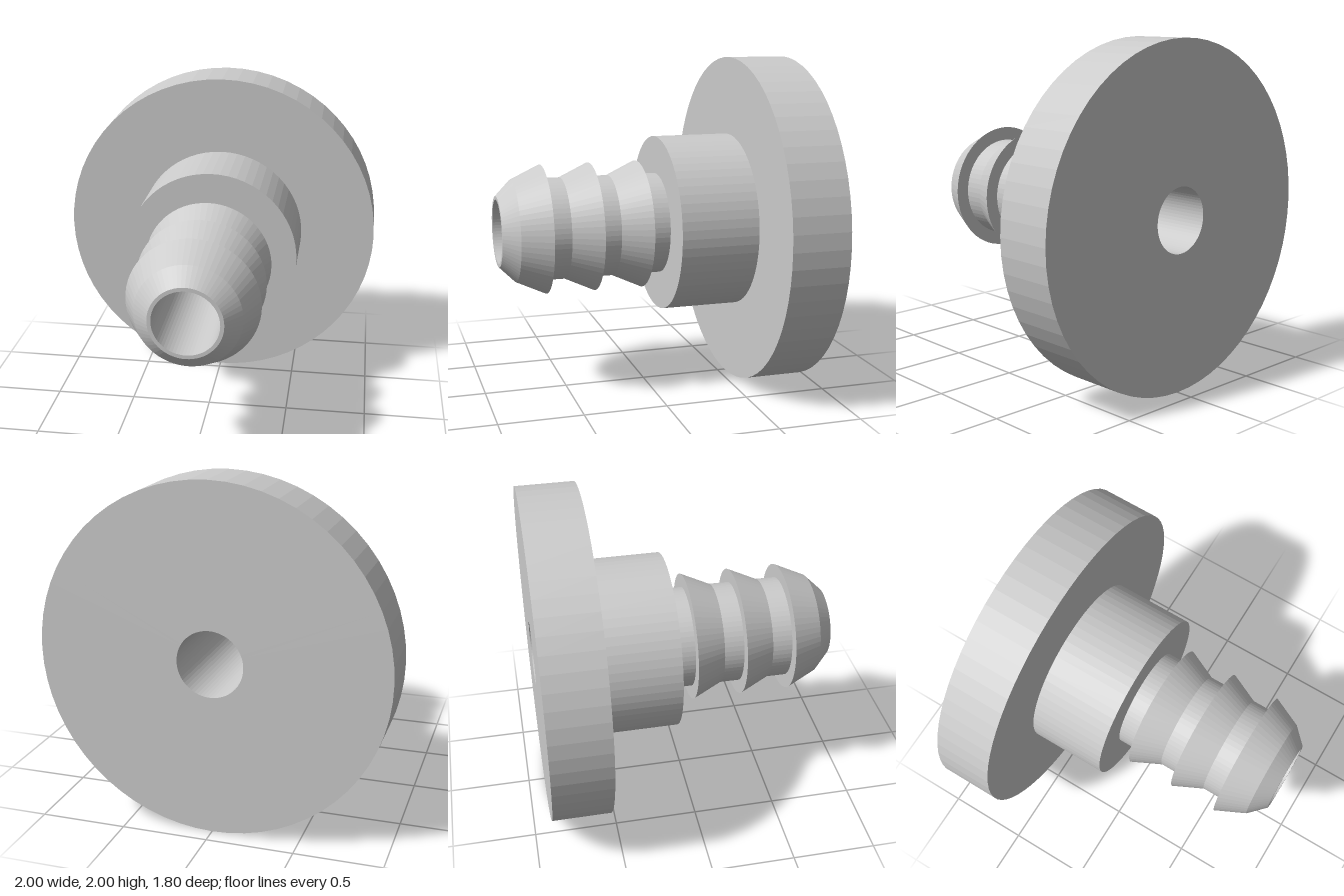
import * as THREE from 'three';

const SEGMENTS = 64;
const BORE = 0.19, STEM = 0.305, BARB = 0.387, COLLAR = 0.53, FLANGE = 1;
const BACK = -0.9, FLANGE_FRONT = -0.55, COLLAR_FRONT = -0.08, TIP = 0.9;

export function createModel() {
  const group = new THREE.Group();
  group.name = 'barbedHoseFitting';
  const material = new THREE.MeshStandardMaterial({ color: 0xcccccc, flatShading: true });

  // Turns a [radius, z] profile around the z axis
  function addTurned(name, profile) {
    const points = profile.map(([r, z]) => new THREE.Vector2(r, z));
    const geometry = new THREE.LatheGeometry(points, SEGMENTS);
    geometry.rotateX(Math.PI / 2);
    const mesh = new THREE.Mesh(geometry, material);
    mesh.name = name;
    mesh.position.y = FLANGE;
    group.add(mesh);
  }

  // Wide disc at the back
  addTurned('flange', [[BORE, BACK], [FLANGE, BACK], [FLANGE, FLANGE_FRONT], [COLLAR, FLANGE_FRONT]]);

  // Thick shoulder in front of the disc
  addTurned('collar', [[COLLAR, FLANGE_FRONT], [COLLAR, COLLAR_FRONT], [STEM, COLLAR_FRONT]]);

  // Stem with three barbs, each a sharp step that tapers forward
  const stem = [[STEM, COLLAR_FRONT]];
  for (const z of [0.04, 0.335, 0.63]) {
    stem.push([STEM, z], [BARB, z], [STEM, z + 0.177]);
  }
  // Chamfered tip and narrow rim
  stem.push([0.212, TIP], [BORE, TIP]);
  addTurned('barbedStem', stem);

  // Through hole, facing inward
  addTurned('bore', [[BORE, TIP], [BORE, BACK]]);

  return group;
}
